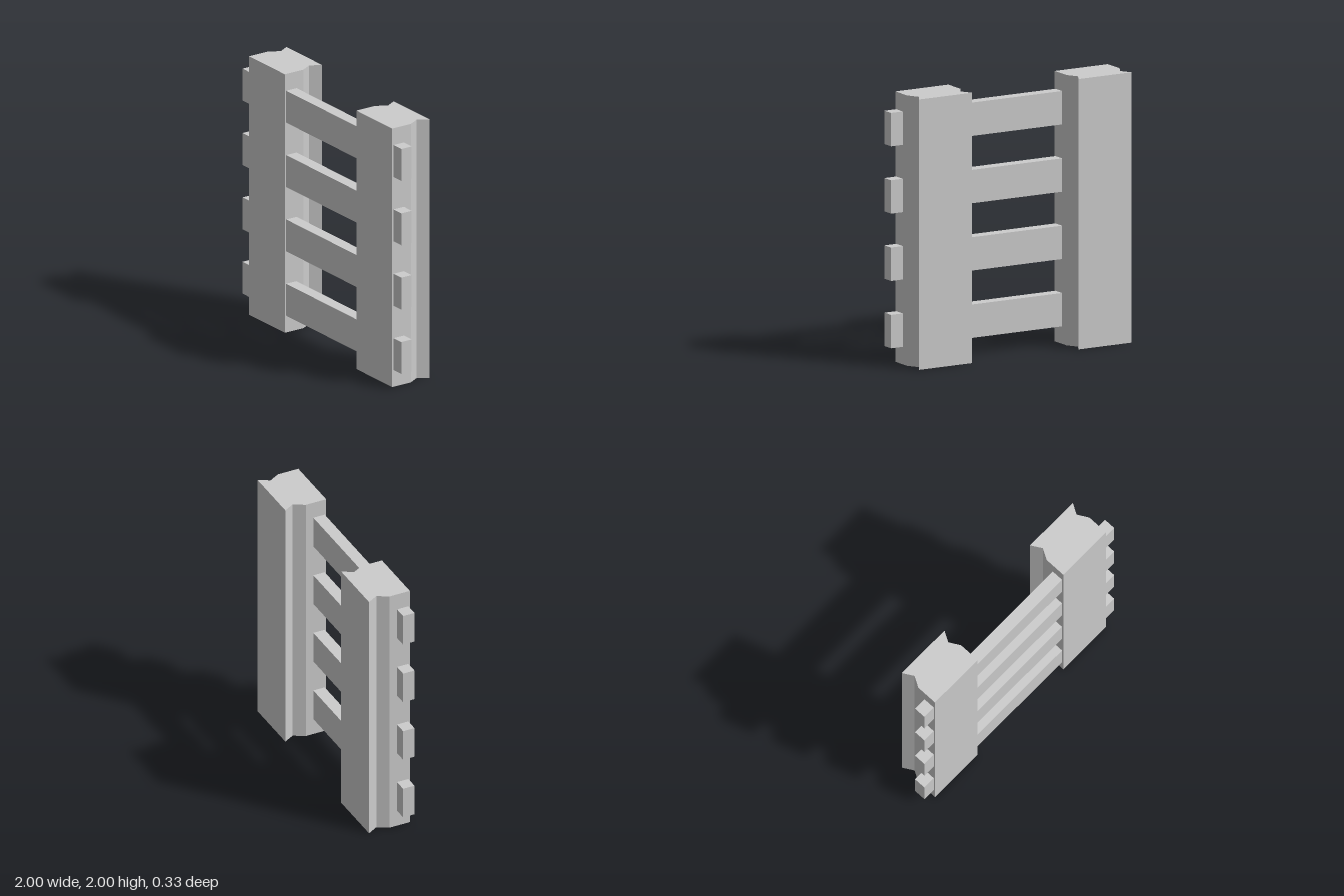
import * as THREE from 'three';

const material = new THREE.MeshStandardMaterial({ color: 0xcccccc, flatShading: true });

// Upright with a V-groove along both sides, extruded from its plan outline
function makeUpright(x, name) {
  const half = 0.225, front = 0.165;
  const side = [[half, -front], [half, 0], [half - 0.047, 0.083], [half, front]];
  const outline = [...side, ...side.map(([px, py]) => [-px, py]).reverse()];
  const shape = new THREE.Shape(outline.map(([px, py]) => new THREE.Vector2(px, py)));
  const geometry = new THREE.ExtrudeGeometry(shape, { depth: 2, bevelEnabled: false });
  geometry.rotateX(-Math.PI / 2);
  const mesh = new THREE.Mesh(geometry, material);
  mesh.name = name;
  mesh.position.x = x;
  return mesh;
}

export function createModel() {
  const group = new THREE.Group();
  group.name = 'slattedFrame';

  // Two mirrored uprights
  group.add(makeUpright(0.676, 'leftUpright'), makeUpright(-0.676, 'rightUpright'));

  // Four crossbars passing through both uprights
  const barGeometry = new THREE.BoxGeometry(2, 0.247, 0.092);
  for (let i = 0; i < 4; i++) {
    const bar = new THREE.Mesh(barGeometry, material);
    bar.name = `crossbar${i + 1}`;
    bar.position.set(0, 0.253 + i * 0.498, 0.107);
    group.add(bar);
  }
  return group;
}
